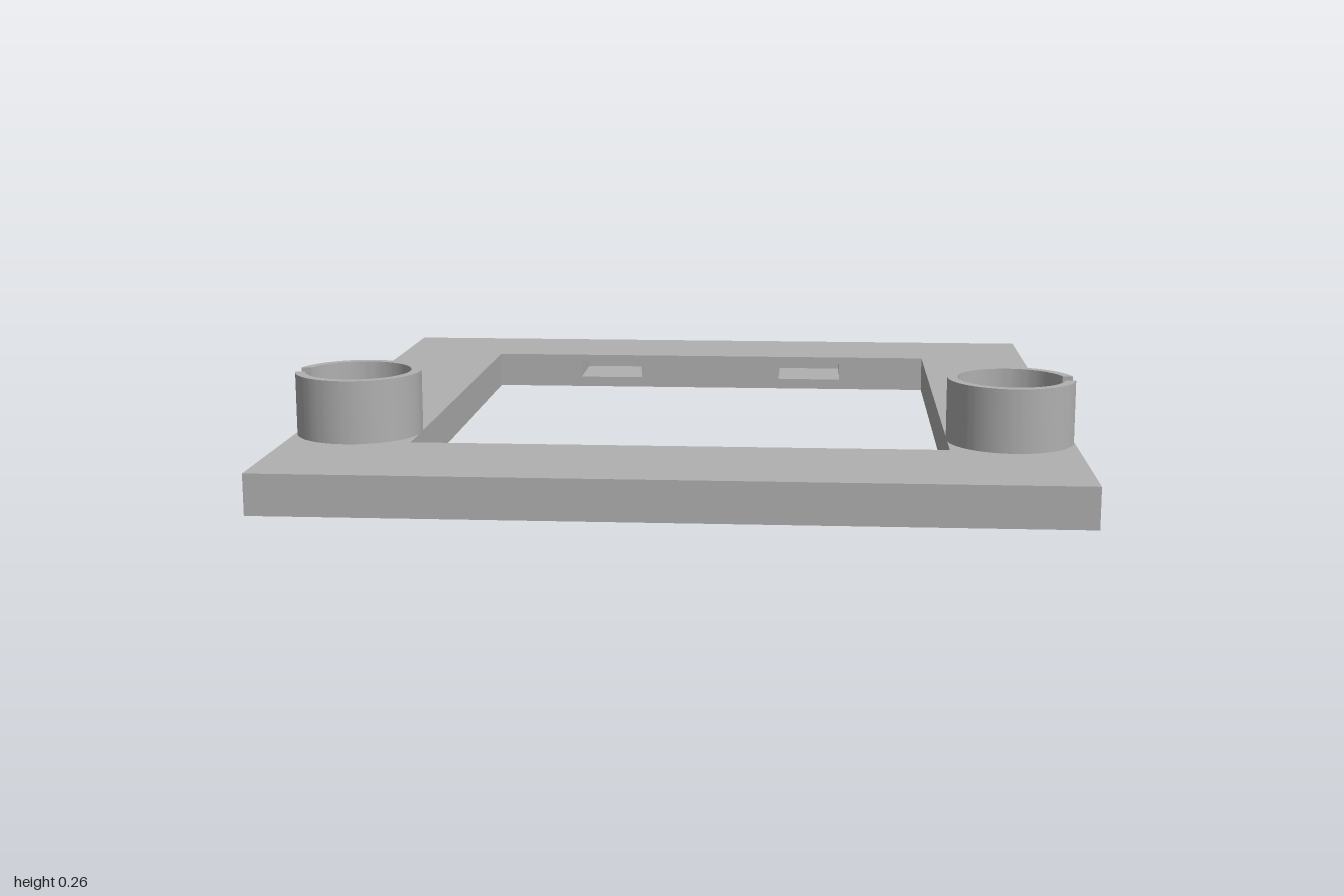
import * as THREE from 'three';
import { toCreasedNormals } from 'three/addons/utils/BufferGeometryUtils.js';

const THICK = 0.1, BACK_WALL = -0.69, INNER_X = 0.66;

// Rectangle outline, usable as a shape or a hole
function rect(x0, y0, x1, y1) {
  return new THREE.Shape([[x0, y0], [x1, y0], [x1, y1], [x0, y1]].map(p => new THREE.Vector2(...p)));
}

// Extrude a plan outline (shape y = -z) upwards
function extrudeUp(shape, depth, curveSegments = 12) {
  return new THREE.ExtrudeGeometry(shape, { depth, bevelEnabled: false, curveSegments }).rotateX(-Math.PI / 2);
}

// Frame slab without its back inner wall, which carries the sockets
function frameGeometry() {
  const plan = rect(-0.972, -1, 0.972, 1);
  plan.holes.push(rect(-INNER_X, -0.64, INNER_X, -BACK_WALL));
  const p = extrudeUp(plan, THICK).attributes.position;
  const kept = [];
  for (let i = 0; i < p.count; i += 3) {
    const onWall = [0, 1, 2].every(k => Math.abs(p.getZ(i + k) - BACK_WALL) < 1e-4);
    if (!onWall) for (let k = 0; k < 3; k++) kept.push(p.getX(i + k), p.getY(i + k), p.getZ(i + k));
  }
  const g = new THREE.BufferGeometry();
  g.setAttribute('position', new THREE.Float32BufferAttribute(kept, 3));
  g.computeVertexNormals();
  return g;
}

// Open box seen from inside, its mouth towards +z
function pocketGeometry(w, h, d) {
  const g = new THREE.BoxGeometry(w, h, d);
  const index = Array.from(g.index.array);
  index.splice(24, 6);
  g.setIndex(index.reverse());
  g.clearGroups();
  g.computeVertexNormals();
  return g;
}

// Split ring with a parallel-sided gap facing +x
function clipGeometry(outer, inner, halfGap, height) {
  const a = Math.asin(halfGap / outer), b = Math.asin(halfGap / inner);
  const s = new THREE.Shape();
  s.absarc(0, 0, outer, a, Math.PI * 2 - a, false);
  s.absarc(0, 0, inner, Math.PI * 2 - b, b, true);
  s.closePath();
  return toCreasedNormals(extrudeUp(s, height, 48), 0.5);
}

export function createModel() {
  const model = new THREE.Group();
  model.name = 'frameWithClips';
  const grey = new THREE.MeshStandardMaterial({ color: 0xb0b0b0 });
  grey.name = 'plain grey';

  const add = (name, geometry, x, y, z) => {
    const mesh = new THREE.Mesh(geometry, grey);
    mesh.name = name;
    mesh.position.set(x, y, z);
    model.add(mesh);
    return mesh;
  };

  add('frame', frameGeometry(), 0, 0, 0);

  // Back inner wall with two rectangular sockets
  const w = 0.19, y0 = 0.03, y1 = 0.08, depth = 0.2;
  const wall = rect(-INNER_X, 0, INNER_X, THICK);
  const pocket = pocketGeometry(w, y1 - y0, depth);
  for (const side of [-1, 1]) {
    const x = side * 0.31;
    wall.holes.push(rect(x - w / 2, y0, x + w / 2, y1));
    add(side > 0 ? 'leftSocket' : 'rightSocket', pocket, x, (y0 + y1) / 2, BACK_WALL - depth / 2);
  }
  add('backInnerWall', new THREE.ShapeGeometry(wall), 0, 0, BACK_WALL);

  // Split ring clips, gaps facing outwards
  const clip = clipGeometry(0.157, 0.132, 0.029, 0.157);
  for (const side of [-1, 1]) {
    const ring = add(side > 0 ? 'leftClip' : 'rightClip', clip, side * 0.815, THICK, 0.517);
    if (side < 0) ring.rotation.y = Math.PI;
  }
  return model;
}
